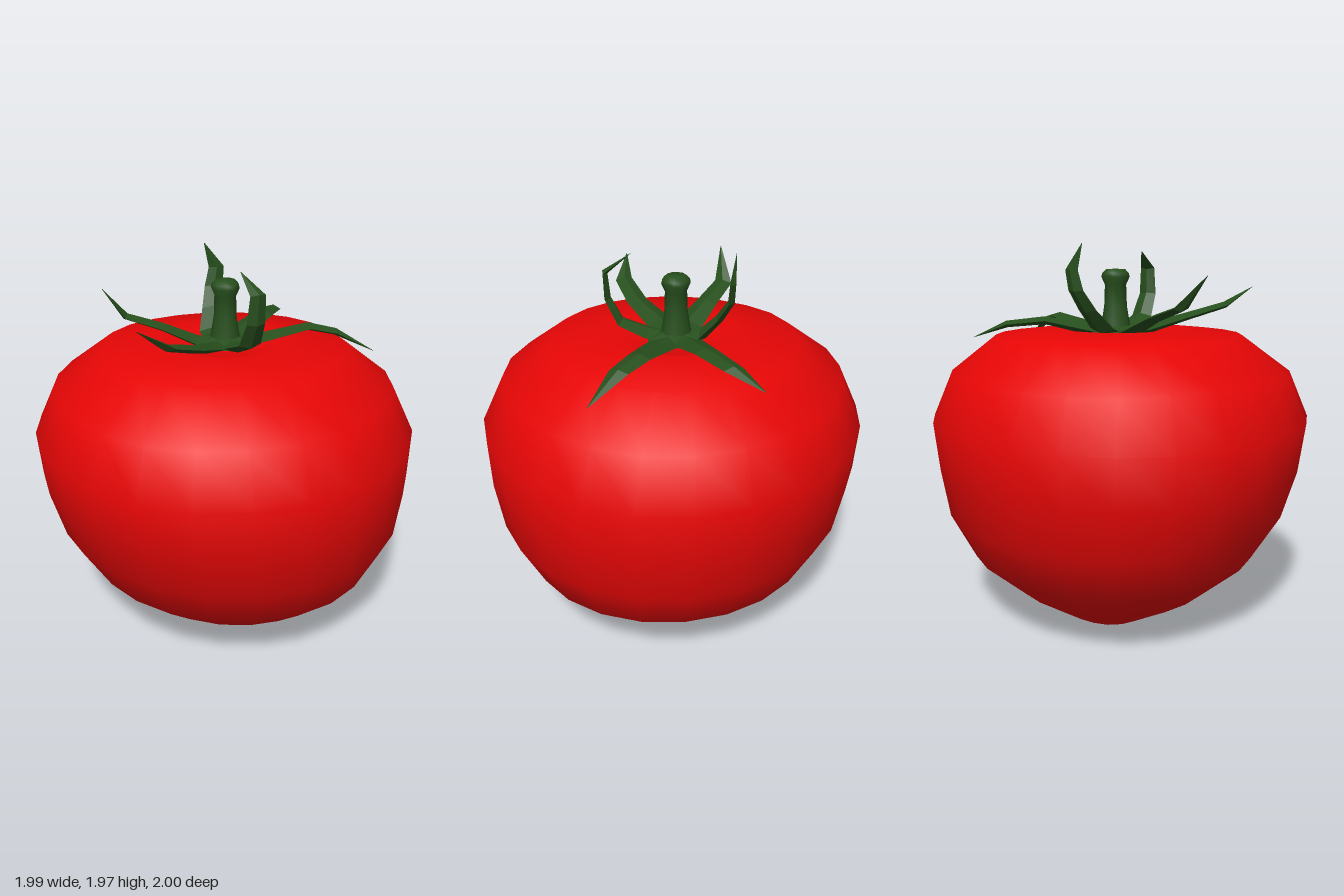
import * as THREE from 'three';
import { toCreasedNormals } from 'three/addons/utils/BufferGeometryUtils.js';

const V = (x, y, z) => new THREE.Vector3(x, y, z);
const CENTRE = V(0.02, 1.5, -0.03);

const lathe = (profile, sides, start = 0) =>
  new THREE.LatheGeometry(profile.map(([r, y]) => new THREE.Vector2(r, y)), sides, start);

// Skin stacked loops of n points each, bottom to top or root to tip
function loft(pos, n) {
  const index = [];
  for (let i = 0; i < pos.length / 3 / n - 1; i++) {
    for (let j = 0; j < n; j++) {
      const a = i * n + j, b = i * n + ((j + 1) % n);
      index.push(a, b, a + n, b, b + n, a + n);
    }
  }
  const geo = new THREE.BufferGeometry();
  geo.setAttribute('position', new THREE.Float32BufferAttribute(pos, 3));
  geo.setIndex(index);
  return geo;
}

// Slightly lopsided fruit, each ring given as y, centre x, centre z, radius x, radius z
function fruitGeometry() {
  const rings = [
    [0, -0.09, -0.14, 0, 0], [0.005, -0.09, -0.14, 0.15, 0.11], [0.05, -0.03, -0.08, 0.39, 0.29],
    [0.15, 0.03, -0.04, 0.605, 0.55], [0.33, 0.025, -0.035, 0.82, 0.77], [0.57, 0.015, -0.022, 0.95, 0.91],
    [0.82, 0.003, -0.005, 0.998, 0.97], [1.07, 0, 0, 1.008, 1.003], [1.31, 0, 0, 0.89, 0.9],
    [1.5, 0.005, -0.01, 0.635, 0.65], [1.537, 0.01, -0.02, 0.32, 0.32], [1.48, 0.02, -0.03, 0.15, 0.15],
    [1.46, 0.02, -0.03, 0, 0],
  ];
  const n = 24, pos = [];
  for (const [y, cx, cz, rx, rz] of rings) {
    for (let j = 0; j < n; j++) {
      const a = ((j + 0.5) / n) * Math.PI * 2;
      const s = Math.sin(a), c = Math.cos(a);
      // Fuller on the left diagonals, flatter on the right ones
      const f = 1 + s * Math.abs(c) * (s > 0 ? 0.04 : 0.08);
      pos.push(cx + rx * s * f, y, cz + rz * c * f);
    }
  }
  const geo = loft(pos, n);
  geo.computeVertexNormals();
  return geo;
}

// Faceted leaf: diamond sections swept along a path, tapering to a point
function sepalGeometry(path) {
  const pts = [CENTRE, ...path.map((q) => V(...q))];
  const last = pts.length - 1;
  const out = pts[2].clone().sub(CENTRE).setY(0).normalize();
  const side = V(0, 1, 0).cross(out);
  const pos = [];
  pts.forEach((pt, i) => {
    const t = pts[Math.min(i + 1, last)].clone().sub(pts[Math.max(i - 1, 0)]).normalize();
    const up = t.cross(side).normalize();
    const w = i === last ? 0.002 : [0.09, 0.08, 0.06, 0.05, 0.042][i];
    const h = w * 0.35;
    for (const [a, b] of [[w, 0], [0, h], [-w, 0], [0, -h]]) {
      const c = pt.clone().addScaledVector(side, a).addScaledVector(up, b);
      pos.push(c.x, c.y, c.z);
    }
  });
  const flat = loft(pos, 4).toNonIndexed();
  flat.computeVertexNormals();
  return flat;
}

export function createModel() {
  const red = new THREE.MeshStandardMaterial({ color: 0xea0606 });
  red.name = 'ripe red';
  const green = new THREE.MeshStandardMaterial({ color: 0x274f1d });
  green.name = 'leaf green';

  const group = new THREE.Group();
  const add = (name, geo, mat) => {
    const mesh = new THREE.Mesh(geo, mat);
    mesh.name = name;
    group.add(mesh);
    return mesh;
  };

  add('fruit', fruitGeometry(), red);

  // Smooth stem with a domed knob
  const stem = lathe([
    [0.085, 1.5], [0.075, 1.56], [0.06, 1.65], [0.056, 1.76],
    [0.074, 1.8], [0.07, 1.82], [0.05, 1.84], [0, 1.842],
  ], 10);
  add('stem', toCreasedNormals(stem, 1), green).position.set(CENTRE.x, 0, CENTRE.z);

  // Six-sided collar joining the leaves
  const collar = lathe([[0, 1.47], [0.16, 1.515], [0.08, 1.55], [0, 1.56]], 6, Math.PI / 2);
  add('calyx', toCreasedNormals(collar, 0.3), green).position.set(CENTRE.x, 0, CENTRE.z);

  // Six leaves around the stem, each from its base to its tip
  const sepals = {
    backSepal: [[0.02, 1.53, -0.18], [0.05, 1.575, -0.4], [0.02, 1.56, -0.6], [-0.05, 1.5, -0.77]],
    backLeftSepal: [[0.17, 1.53, -0.14], [0.36, 1.575, -0.31], [0.49, 1.55, -0.37], [0.68, 1.45, -0.45]],
    frontLeftSepal: [[0.14, 1.53, 0.06], [0.25, 1.58, 0.14], [0.3, 1.7, 0.18], [0.31, 1.84, 0.18], [0.19, 1.93, 0.13]],
    frontSepal: [[0.02, 1.53, 0.14], [0.055, 1.59, 0.36], [0.04, 1.65, 0.56], [-0.04, 1.75, 0.69]],
    frontRightSepal: [[-0.1, 1.53, 0.06], [-0.25, 1.6, 0.14], [-0.41, 1.66, 0.24], [-0.46, 1.82, 0.36]],
    backRightSepal: [[-0.09, 1.54, -0.11], [-0.14, 1.64, -0.19], [-0.17, 1.74, -0.25], [-0.165, 1.84, -0.27], [-0.21, 1.97, -0.22]],
  };
  for (const [name, path] of Object.entries(sepals)) add(name, sepalGeometry(path), green);

  return group;
}
